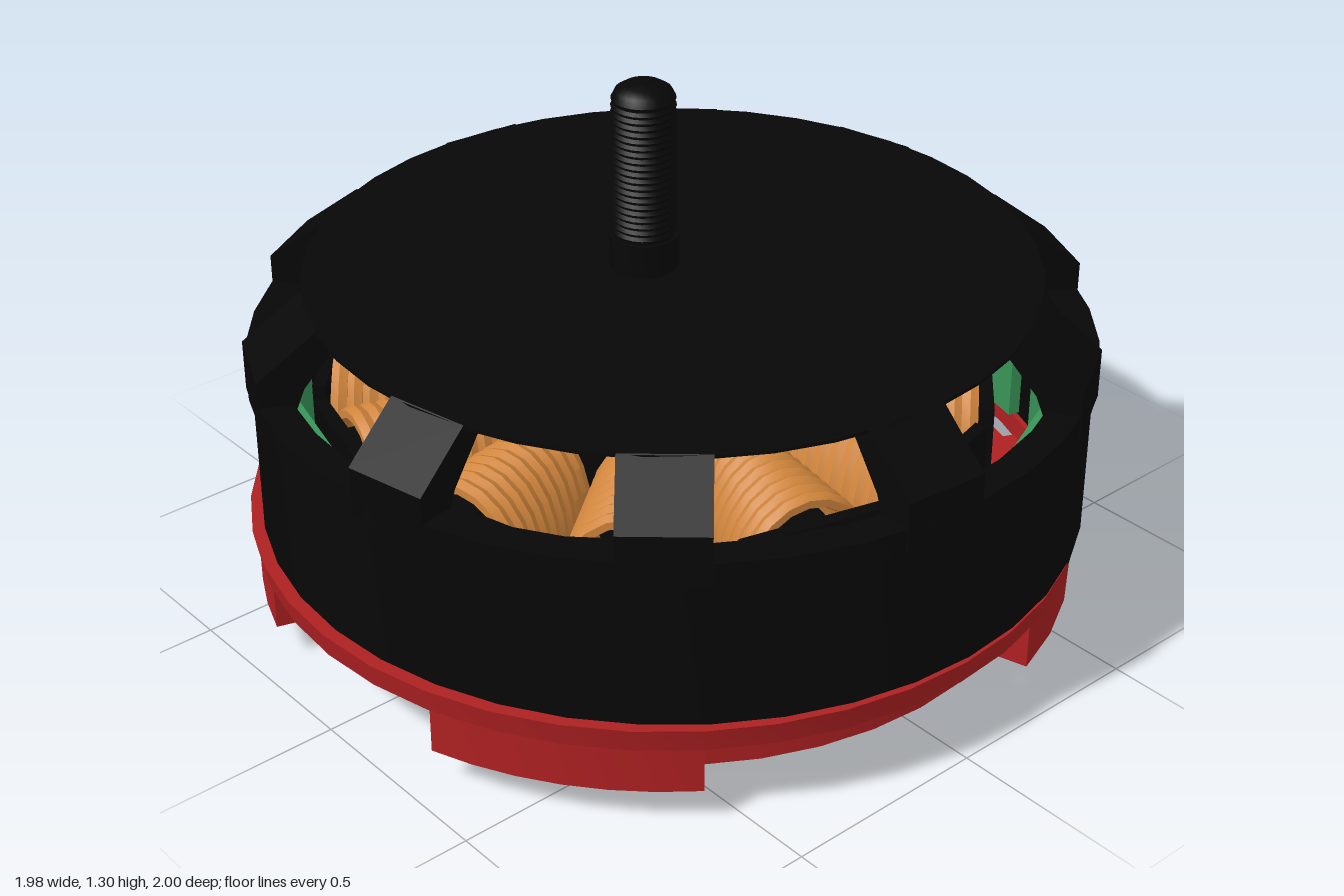
import * as THREE from 'three';
import { toCreasedNormals, mergeGeometries } from 'three/addons/utils/BufferGeometryUtils.js';

const material = (color) => new THREE.MeshStandardMaterial({ color });
const BLACK = material(0x070707), RED = material(0xae2022), GREEN = material(0x389558);
const COPPER = material(0xd0853c), GREY = material(0xcccccc);
const rad = THREE.MathUtils.degToRad;

function add(parent, name, geometry, mat) {
  const mesh = new THREE.Mesh(toCreasedNormals(geometry, 0.6), mat);
  mesh.name = name;
  parent.add(mesh);
  return mesh;
}

// Turned solid from a profile of [radius, height], running up the outside
const turned = (points, segments = 40) =>
  new THREE.LatheGeometry(points.map(([r, y]) => new THREE.Vector2(r, y)), segments);

// Copies of one geometry around the vertical axis, angles in degrees from +z to +x
function around(geometry, count, start) {
  const copies = [];
  for (let i = 0; i < count; i++) {
    copies.push(geometry.clone().rotateY(rad(start + (i * 360) / count)));
  }
  return mergeGeometries(copies);
}

function group(parent, name, z) {
  const g = new THREE.Group();
  g.name = name;
  g.position.z = z;
  parent.add(g);
  return g;
}

// Rotating bell: wall, shoulder ring, sloping spokes, lid and magnets
function buildBell(root) {
  const bell = group(root, 'bell', -0.01);
  add(bell, 'bellWall', turned([
    [0.912, 0.25], [0.978, 0.25], [0.978, 0.605], [0.988, 0.605], [0.988, 0.665], [0.912, 0.665], [0.912, 0.25],
  ]), BLACK);
  add(bell, 'lid', turned([[0, 0.828], [0.852, 0.828], [0.852, 0.836], [0, 0.865]]), BLACK);

  const profile = new THREE.Shape([
    [0.915, 0.61], [0.985, 0.61], [0.985, 0.73], [0.845, 0.838], [0.78, 0.838], [0.78, 0.825], [0.88, 0.7],
  ].map(([r, y]) => new THREE.Vector2(r, y)));
  const spoke = new THREE.ExtrudeGeometry(profile, { depth: 0.2, bevelEnabled: false });
  spoke.translate(0, 0, -0.1).rotateY(-Math.PI / 2);
  add(bell, 'spokes', around(spoke, 10, 12), BLACK);

  const magnet = new THREE.BoxGeometry(0.265, 0.35, 0.04).translate(0, 0.44, 0.89);
  add(bell, 'magnets', around(magnet, 14, 178 + 180 / 14), GREEN);
}

// Threaded shaft with a collar at the lid
function buildShaft(root) {
  const shaft = group(root, 'shaft', 0.075);
  add(shaft, 'collar', turned([[0, 0.83], [0.08, 0.83], [0.08, 0.94], [0, 0.94]], 24), BLACK);
  const points = [[0, 0.06], [0.07, 0.06], [0.07, 0.94]];
  for (let y = 0.95; y < 1.26; y += 0.016) points.push([0.074, y], [0.069, y + 0.008]);
  points.push([0.073, 1.272], [0.064, 1.29], [0.045, 1.302], [0, 1.302]);
  add(shaft, 'threadedRod', turned(points, 24), BLACK);
}

// Stator with twelve wound teeth
function buildStator(root) {
  const stator = group(root, 'stator', 0.04);
  add(stator, 'hub', turned([
    [0.12, 0.2], [0.3, 0.2], [0.3, 0.29], [0.4, 0.29], [0.4, 0.59], [0.12, 0.59], [0.12, 0.2],
  ]), BLACK);
  const arm = new THREE.BoxGeometry(0.09, 0.28, 0.42).translate(0, 0.44, 0.56);
  const tip = new THREE.BoxGeometry(0.34, 0.3, 0.03).translate(0, 0.44, 0.765);
  add(stator, 'teeth', around(mergeGeometries([arm, tip]), 12, 15), BLACK);

  const turns = [];
  for (let i = 0; i < 9; i++) {
    const r = 0.44 + i * 0.036;
    const turn = new THREE.TorusGeometry(1, 0.1, 6, 20);
    turn.scale(0.05 + 0.135 * r, 0.185, 0.22).translate(0, 0.44, r);
    turns.push(turn);
  }
  add(stator, 'windings', around(mergeGeometries(turns), 12, 15), COPPER);
}

// Base plate with cut-back rim sections, vents and screw holes
function buildBase(root) {
  const base = group(root, 'base', 0.012);
  const sections = [
    [-18, 18, 0.74], [18, 54, 0.973], [54, 106, 0.885], [106, 157, 0.973],
    [157, 203, 0.888], [203, 254, 0.973], [254, 306, 0.885], [306, 342, 0.973],
  ];
  const outline = [];
  for (const [from, to, r] of sections) {
    for (let i = 0; i <= 6; i++) {
      const a = rad(from + ((to - from) * i) / 6);
      outline.push(new THREE.Vector2(r * Math.sin(a), r * Math.cos(a)));
    }
  }
  const shape = new THREE.Shape(outline.reverse());
  const cut = (x, z, rx, rz) => {
    shape.holes.push(new THREE.Path().absellipse(x, z, rx, rz, 0, Math.PI * 2, true));
  };
  for (const side of [-1, 1]) {
    cut(side * 0.52, 0.02, 0.15, 0.3);
    cut(side * 0.56, 0.45, 0.065, 0.065);
    cut(side * 0.56, -0.43, 0.065, 0.065);
  }
  cut(0, -0.45, 0.35, 0.15);
  const plate = new THREE.ExtrudeGeometry(shape, { depth: 0.117, bevelEnabled: false, curveSegments: 14 });
  add(base, 'basePlate', plate.rotateX(Math.PI / 2).translate(0, 0.205, 0), RED);
  add(base, 'baseRim', turned([
    [0.92, 0.2], [0.978, 0.2], [0.988, 0.257], [0.92, 0.257], [0.92, 0.2],
  ]), RED);
}

// Rounded bearing cap under the base
function buildBearing(root) {
  const bearing = group(root, 'bearing', 0.085);
  add(bearing, 'bearingCap', turned([
    [0, 0.055], [0.06, 0.055], [0.06, 0.02], [0.095, 0.02], [0.095, 0.055], [0.19, 0.055], [0.19, 0],
    [0.22, 0], [0.234, 0.012], [0.242, 0.035], [0.242, 0.06], [0.235, 0.085], [0.225, 0.1], [0, 0.1],
  ], 32), GREY);
}

export function createModel() {
  const model = new THREE.Group();
  model.name = 'motor';
  buildBell(model);
  buildShaft(model);
  buildStator(model);
  buildBase(model);
  buildBearing(model);
  return model;
}
